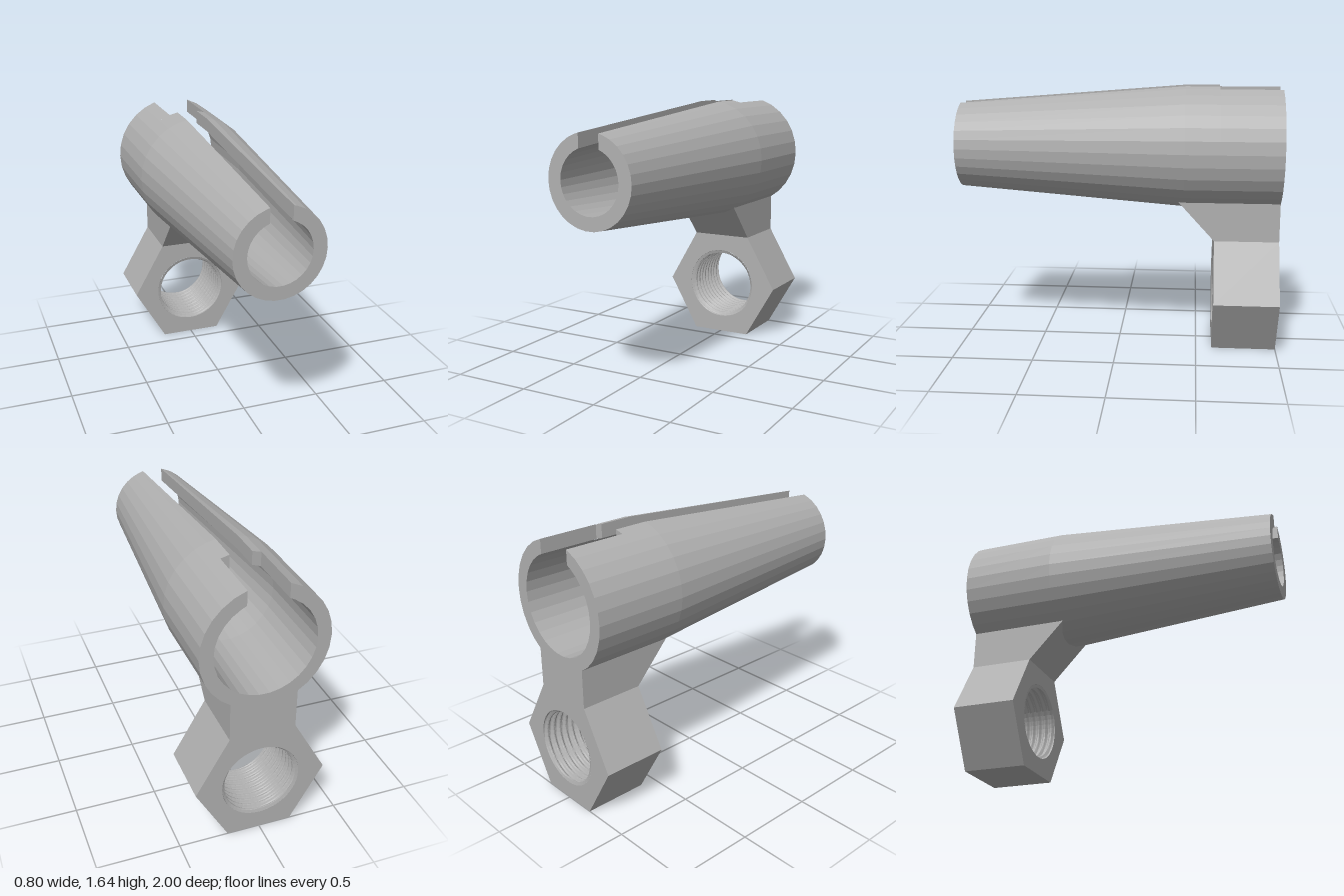
import * as THREE from 'three';

const AXIS_Y = 1.265; // height of the clip's axis
const SIDES = 30;

// Collects quads into a faceted geometry
function quadBuilder() {
  const pos = [];
  return {
    quad(a, b, c, d, flip = false) {
      const order = flip ? [a, d, c, a, c, b] : [a, b, c, a, c, d];
      order.forEach((p) => pos.push(...p));
    },
    build() {
      const g = new THREE.BufferGeometry();
      g.setAttribute('position', new THREE.Float32BufferAttribute(pos, 3));
      g.computeVertexNormals();
      return g;
    },
  };
}

// Open ring around the axis, cut at the top by a parallel slot of half width w
function openRing(r, z, w) {
  const end = Math.asin(w / r);
  const pts = [];
  for (let k = 0; k < SIDES; k++) {
    const a = ((k + 0.5) / SIDES) * Math.PI * 2;
    const c = k === 0 ? end : k === SIDES - 1 ? Math.PI * 2 - end
      : Math.min(Math.max(a, end), Math.PI * 2 - end);
    pts.push([Math.sin(c) * r, AXIS_Y + Math.cos(c) * r, z]);
  }
  return pts;
}

// Slotted tube through stations [z, outer radius, inner radius]
function slottedTube(stations, w, capBack, capFront) {
  const b = quadBuilder();
  const O = stations.map(([z, R]) => openRing(R, z, w));
  const I = stations.map(([z, , r]) => openRing(r, z, w));
  const last = stations.length - 1, e = SIDES - 1;
  for (let i = 0; i < last; i++) {
    for (let k = 0; k < e; k++) {
      b.quad(O[i][k], O[i + 1][k], O[i + 1][k + 1], O[i][k + 1]);
      b.quad(I[i][k], I[i + 1][k], I[i + 1][k + 1], I[i][k + 1], true);
    }
    // slot walls
    b.quad(I[i][0], I[i + 1][0], O[i + 1][0], O[i][0]);
    b.quad(I[i][e], I[i + 1][e], O[i + 1][e], O[i][e], true);
  }
  for (let k = 0; k < e; k++) {
    if (capBack) b.quad(I[0][k], I[0][k + 1], O[0][k + 1], O[0][k], true);
    if (capFront) b.quad(I[last][k], I[last][k + 1], O[last][k + 1], O[last][k]);
  }
  return b.build();
}

// Shoulders where the wide slot meets the narrow one
function slotShoulders(z, R, r, narrow, wide) {
  const b = quadBuilder();
  const at = (x, rad) => [x, AXIS_Y + Math.sqrt(rad * rad - x * x), z];
  for (const s of [1, -1]) {
    b.quad(at(s * narrow, R), at(s * wide, R), at(s * wide, r), at(s * narrow, r), s < 0);
  }
  return b.build();
}

// Helical internal thread, facing inward
function threadGeometry(z0, z1, cy, rMin, rMax) {
  const b = quadBuilder();
  const n = 48, turns = 9, rings = turns * 8;
  const point = (i, k) => {
    const t = i / rings, a = (k / n) * Math.PI * 2;
    const phase = (((t * turns - k / n) % 1) + 1) % 1;
    const ridge = Math.min(1, Math.max(0, 1.5 - Math.abs(phase - 0.5) * 4));
    const r = i === 0 || i === rings ? rMax : rMax - (rMax - rMin) * ridge;
    return [Math.cos(a) * r, cy + Math.sin(a) * r, z0 + (z1 - z0) * t];
  };
  for (let i = 0; i < rings; i++) {
    for (let k = 0; k < n; k++) {
      b.quad(point(i, k), point(i + 1, k), point(i + 1, k + 1), point(i, k + 1));
    }
  }
  return b.build();
}

const shapeOf = (pts) => new THREE.Shape(pts.map(([x, y]) => new THREE.Vector2(x, y)));

export function createModel() {
  const group = new THREE.Group();
  const grey = new THREE.MeshStandardMaterial({ color: 0xb0b0b0, flatShading: true });
  grey.name = 'grey plastic';
  const add = (name, geometry) => {
    const mesh = new THREE.Mesh(geometry, grey);
    mesh.name = name;
    group.add(mesh);
  };

  // Tapered clip: wide slot at the back, narrow slot to the front
  const R = 0.382, r = 0.3, step = -0.62;
  add('clipBack', slottedTube([[-1, R, r], [step, R, r]], 0.12, true, false));
  add('clipFront', slottedTube([[step, R, r], [-0.41, R, r], [1, 0.272, 0.19]], 0.066, false, true));
  add('slotShoulders', slotShoulders(step, R, r, 0.066, 0.12));

  // Neck with a sloping front brace, drawn in profile
  const neck = new THREE.ExtrudeGeometry(
    shapeOf([[1, 0.69], [1, 0.945], [0.375, 0.945], [0.6, 0.7], [0.6, 0.69]]),
    { depth: 0.4, bevelEnabled: false });
  neck.rotateY(Math.PI / 2).translate(-0.2, 0, 0);
  add('neck', neck);

  // Hexagonal mount with a round bore
  const hex = shapeOf([[0.4, 0.35], [0.2, 0.7], [-0.2, 0.7], [-0.4, 0.35], [-0.2, 0], [0.2, 0]]);
  const bore = new THREE.Path();
  bore.absarc(0, 0.35, 0.24, 0, Math.PI * 2, true);
  hex.holes.push(bore);
  const mount = new THREE.ExtrudeGeometry(hex, { depth: 0.4, bevelEnabled: false, curveSegments: 24 });
  mount.translate(0, 0, -1);
  add('hexMount', mount);

  // Screw thread inside the bore
  add('thread', threadGeometry(-1, -0.6, 0.35, 0.22, 0.239));

  return group;
}
